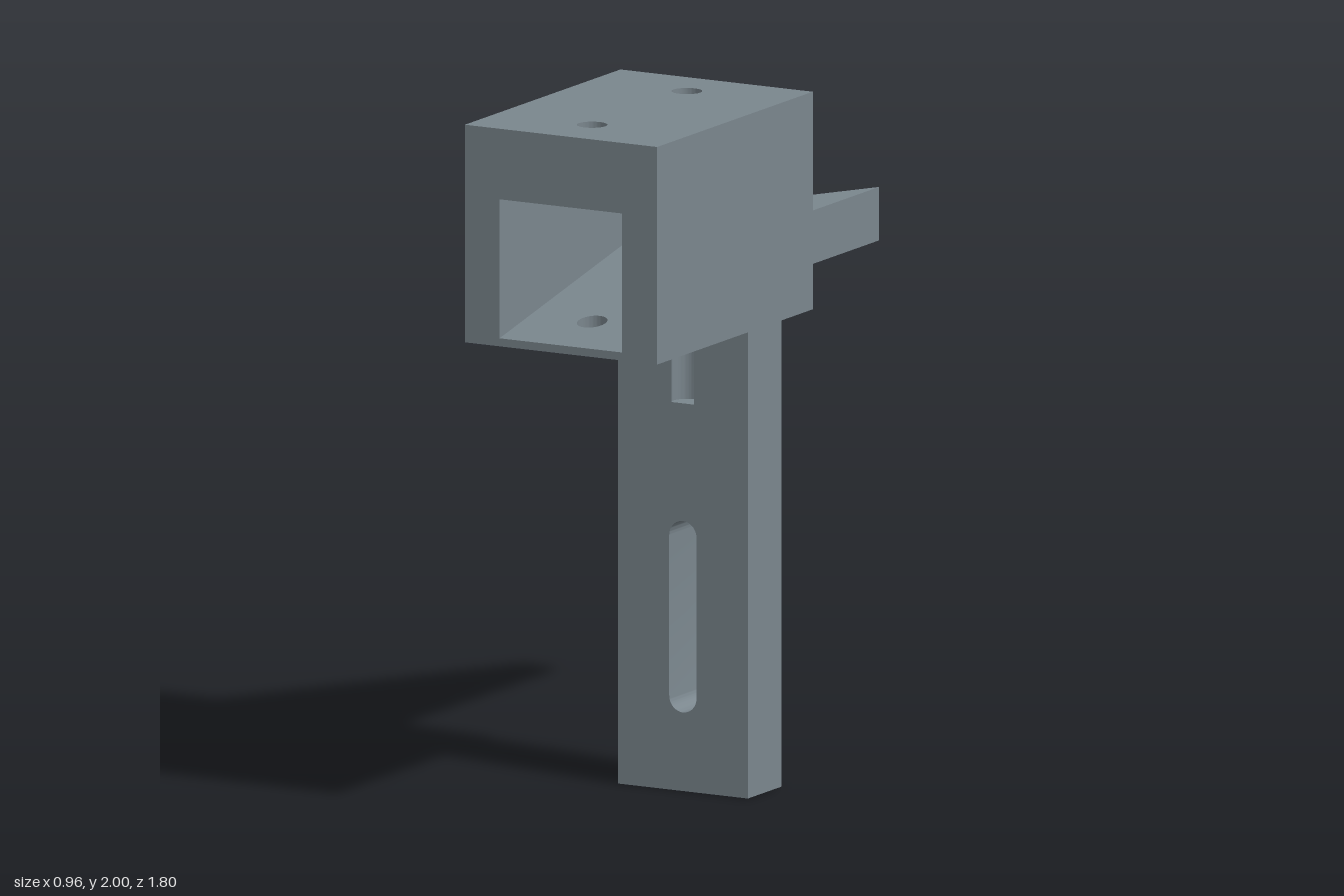
import * as THREE from 'three';
import { toCreasedNormals } from 'three/addons/utils/BufferGeometryUtils.js';

const CX = 0.168;                    // centre line of post, slot and bolt holes
const BACK = 0.02, FRONT = 0.9;      // depth of the square housing
const BASE = 1.377;                  // underside of housing and fin
const POST_FRONT = 0.21;
const HOLE_R = 0.043, HOLE_Z = [0.187, 0.723];

export function createModel() {
  const group = new THREE.Group();
  const material = new THREE.MeshStandardMaterial({ color: 0x7a868d });

  const add = (name, geometry) => {
    const mesh = new THREE.Mesh(toCreasedNormals(geometry, 0.6), material);
    mesh.name = name;
    group.add(mesh);
  };
  const rect = (x0, x1, y0, y1) => new THREE.Shape([
    new THREE.Vector2(x0, y0), new THREE.Vector2(x1, y0),
    new THREE.Vector2(x1, y1), new THREE.Vector2(x0, y1),
  ]);
  // Plan shapes use (x, -z) and rise from y0 to y1
  const rise = (shape, y0, y1) =>
    new THREE.ExtrudeGeometry(shape, { depth: y1 - y0, bevelEnabled: false, curveSegments: 24 })
      .rotateX(-Math.PI / 2).translate(0, y0, 0);
  // Drilled slab whose surface facing the passage (at height slopeY) climbs toward the back
  const drilledSlab = (y0, y1, slopeY) => {
    const shape = rect(-0.03, 0.366, -FRONT, -BACK);
    for (const z of HOLE_Z) {
      shape.holes.push(new THREE.Path().absarc(CX, -z, HOLE_R, 0, Math.PI * 2, true));
    }
    const slab = rise(shape, y0, y1);
    const p = slab.attributes.position;
    for (let i = 0; i < p.count; i++) {
      if (Math.abs(p.getY(i) - slopeY) < 0.001) {
        p.setY(i, slopeY + 0.18 * (FRONT - p.getZ(i)) / (FRONT - BACK));
      }
    }
    return slab;
  };

  // Square housing: side walls, with a passage sloping up between floor and roof
  add('housingRightWall', rise(rect(-0.142, -0.03, -FRONT, -BACK), BASE, 2));
  add('housingLeftWall', rise(rect(0.366, 0.479, -FRONT, -BACK), BASE, 2));
  add('housingFloor', drilledSlab(BASE, 1.4, 1.4));
  add('housingRoof', drilledSlab(1.798, 2, 1.798));

  // Lower post with a rounded slot
  const post = rect(-0.042, 0.378, 0, 1.11);
  const slot = new THREE.Path();
  slot.absarc(CX, 0.729, 0.044, 0, Math.PI, false);
  slot.absarc(CX, 0.269, 0.044, Math.PI, Math.PI * 2, false);
  slot.closePath();
  post.holes.push(slot);
  add('post', new THREE.ExtrudeGeometry(post, {
    depth: POST_FRONT - BACK, bevelEnabled: false, curveSegments: 24,
  }).translate(0, 0, BACK));

  // Upper post, grooved where the rear bolt hole runs down its front
  const a = Math.asin((POST_FRONT - HOLE_Z[0]) / HOLE_R);
  const top = new THREE.Shape();
  top.moveTo(-0.042, -BACK);
  top.lineTo(-0.042, -POST_FRONT);
  top.absarc(CX, -HOLE_Z[0], HOLE_R, Math.PI + a, -a, true);
  top.lineTo(0.378, -POST_FRONT);
  top.lineTo(0.378, -BACK);
  top.closePath();
  add('groovedPostTop', rise(top, 1.11, BASE));

  // Triangular fin reaching backward
  add('triangularFin', rise(new THREE.Shape([
    new THREE.Vector2(-0.481, -0.207), new THREE.Vector2(CX, -0.207), new THREE.Vector2(CX, 0.9),
  ]), BASE, 1.53));

  return group;
}
